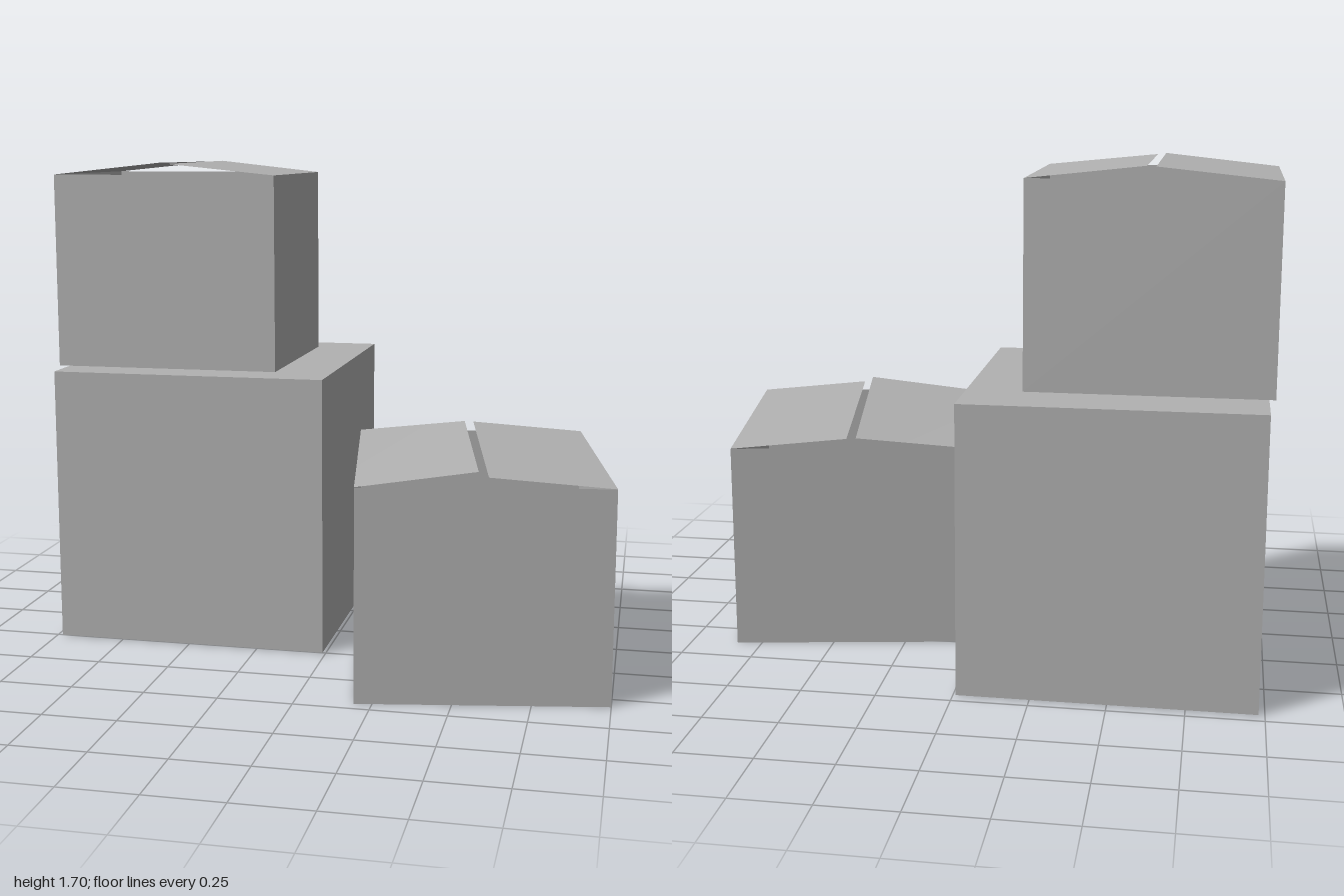
import * as THREE from 'three';

const cardboard = new THREE.MeshStandardMaterial({ color: 0xb2b2b2, side: THREE.DoubleSide });
cardboard.name = 'grey cardboard';

function addMesh(parent, name, geometry) {
  const mesh = new THREE.Mesh(geometry, cardboard);
  mesh.name = name;
  parent.add(mesh);
  return mesh;
}

// Thin-walled carton standing on its own y = 0, with the lid face left out
function openCarton(w, h, d) {
  const geo = new THREE.BoxGeometry(w, h, d);
  const index = Array.from(geo.index.array);
  index.splice(12, 6); // the +y face
  geo.setIndex(index);
  geo.clearGroups();
  return geo.translate(0, h / 2, 0);
}

// Sheet hinged on a side wall, rising to its free edge at the middle
function flap(hingeX, h, d, tipX, backRise, frontRise) {
  const geo = new THREE.PlaneGeometry(1, 1);
  const back = -d / 2, front = d / 2;
  const [x0, x1] = hingeX < tipX ? [hingeX, tipX] : [tipX, hingeX];
  const p = geo.attributes.position;
  [[x0, back], [x1, back], [x0, front], [x1, front]].forEach(([x, z], i) => {
    const rise = x === hingeX ? 0 : z < 0 ? backRise : frontRise;
    p.setXYZ(i, x, h + rise, z);
  });
  geo.computeVertexNormals();
  return geo;
}

function flappedBox(name, w, h, d, rightFlap, leftFlap) {
  const box = new THREE.Group();
  box.name = name;
  addMesh(box, 'walls', openCarton(w, h, d));
  addMesh(box, 'rightFlap', flap(-w / 2, h, d, ...rightFlap));
  addMesh(box, 'leftFlap', flap(w / 2, h, d, ...leftFlap));
  return box;
}

export function createModel() {
  const model = new THREE.Group();
  model.name = 'boxStack';

  // Large closed box at the bottom of the stack
  const large = addMesh(model, 'largeBox', new THREE.BoxGeometry(0.97, 0.97, 0.97));
  large.position.set(-0.495, 0.488, -0.227);

  // Half-open box on top of it
  const upper = flappedBox('upperBox', 0.8, 0.68, 0.69, [-0.01, 0.04, 0.042], [0.018, 0.042, 0.038]);
  upper.position.set(-0.6, 0.98, -0.187);
  model.add(upper);

  // Half-open box on the floor, turned slightly
  const lower = flappedBox('floorBox', 0.82, 0.71, 0.964, [-0.022, 0.036, 0.052], [0.01, 0.034, 0.034]);
  lower.position.set(0.514, 0, 0.164);
  lower.rotation.y = 0.171;
  model.add(lower);

  return model;
}
